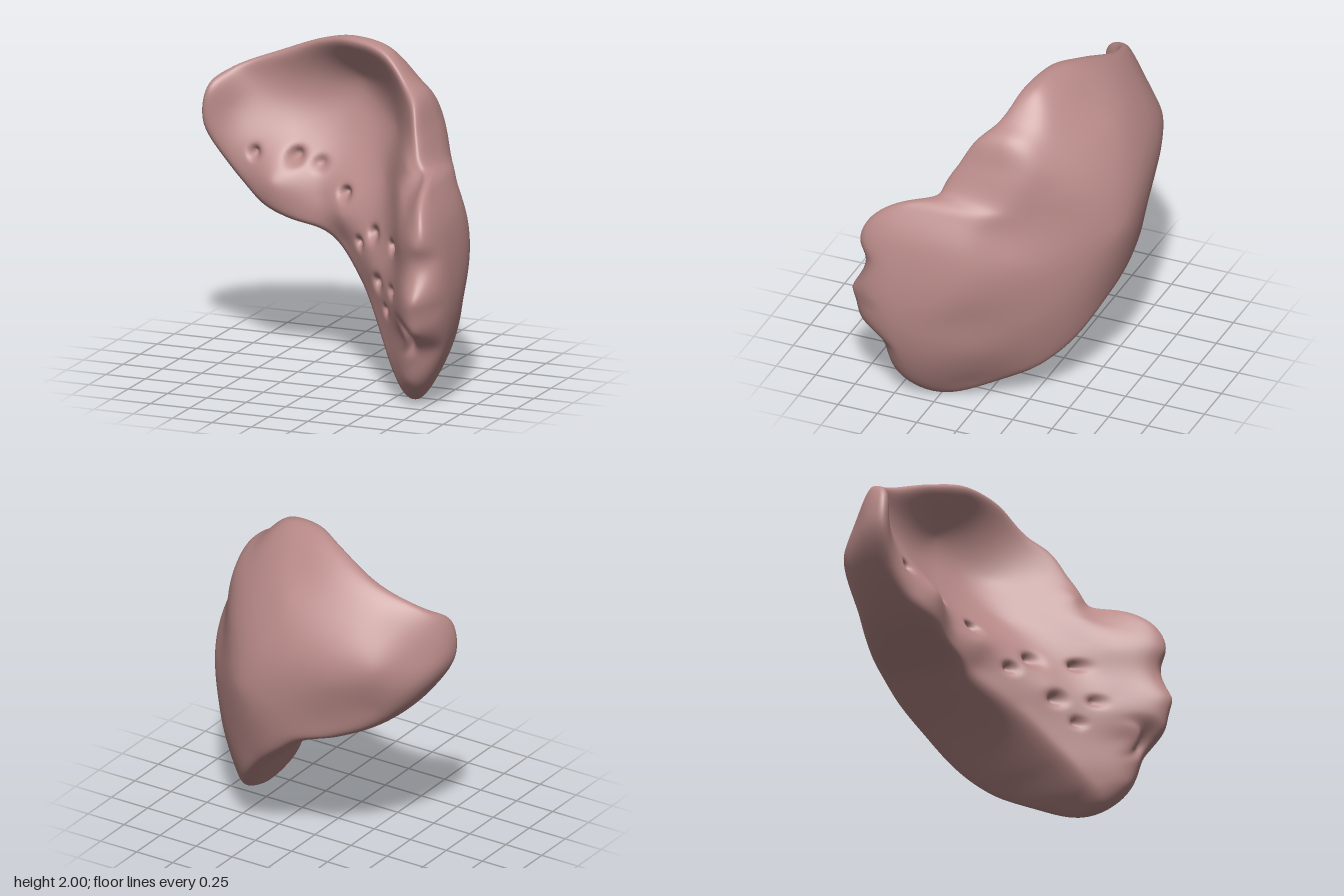
import * as THREE from 'three';

// Margin of the organ, clockwise from the top: x, y, z
const MARGIN = [
  [0.02, 2, -0.21], [0.25, 1.965, -0.17], [0.43, 1.81, -0.1], [0.53, 1.73, -0.09], [0.6, 1.56, -0.08],
  [0.67, 1.4, 0.05], [0.78, 1.295, 0.42], [0.87, 1.11, 0.45], [0.925, 0.75, 0.46], [0.905, 0.5, 0.44],
  [0.835, 0.27, 0.4], [0.73, 0.08, 0.36], [0.63, 0, 0.26], [0.53, 0.07, 0.06], [0.4, 0.24, -0.2],
  [0.2, 0.5, -0.4], [0, 0.68, -0.46], [-0.16, 0.8, -0.47], [-0.4, 0.87, -0.38], [-0.6, 0.97, -0.32],
  [-0.8, 1.17, -0.25], [-0.925, 1.4, -0.19], [-0.895, 1.62, -0.19], [-0.79, 1.71, -0.29],
  [-0.5, 1.83, -0.36], [-0.2, 1.95, -0.29],
];

// Hollow inner face: rim, hollow, central ridge, lower face, side lobe
const INNER = [
  [-0.87, 1.6, -0.13], [-0.89, 1.4, -0.12], [-0.74, 1.7, -0.27], [-0.45, 1.82, -0.31], [0, 1.94, -0.18],
  [0.28, 1.9, -0.08], [0.43, 1.77, 0.01], [0.52, 1.6, 0.12], [0.55, 1.38, 0.24], [0.53, 1.22, 0.3], [0.5, 1.06, 0.31],
  [-0.75, 1.5, -0.22], [-0.4, 1.6, -0.36], [0, 1.71, -0.37], [0, 1.45, -0.34], [0.3, 1.5, -0.18],
  [0.28, 1.2, -0.06], [-0.35, 1.36, -0.28], [-0.72, 1.2, -0.16],
  [-0.45, 1.1, -0.07], [-0.15, 1.03, -0.14], [0, 0.96, -0.05], [0.17, 0.84, 0.06], [0.32, 0.72, 0.21], [0.45, 0.6, 0.33],
  [-0.43, 0.95, -0.08], [-0.62, 1.06, -0.13], [0, 0.8, -0.09], [0.2, 0.6, 0.07], [0.4, 0.37, 0.26], [0.55, 0.18, 0.4], [0.63, 0.08, 0.44],
  [0.49, 0.88, 0.32], [0.6, 1, 0.49], [0.62, 1.22, 0.39], [0.66, 1.34, 0.29], [0.72, 1.29, 0.47], [0.76, 1.23, 0.59],
  [0.8, 1.02, 0.69], [0.81, 0.7, 0.74], [0.79, 0.5, 0.69], [0.73, 0.32, 0.56], [0.67, 0.17, 0.51],
  [0.7, 0.8, 0.64], [0.58, 0.7, 0.49], [0.63, 0.44, 0.52], [0.88, 0.95, 0.62], [0.9, 0.65, 0.62], [0.85, 0.38, 0.52],
];

// Domed outer face
const OUTER = [
  [0, 1.13, -0.74], [-0.4, 1.3, -0.69], [0.25, 1.1, -0.7], [0, 1.5, -0.68], [0, 1.7, -0.57], [0, 1.87, -0.41],
  [-0.4, 1.6, -0.6], [-0.4, 1.75, -0.5], [-0.65, 1.4, -0.59], [-0.65, 1.6, -0.49], [-0.85, 1.45, -0.39],
  [-0.6, 1.1, -0.54], [-0.3, 1, -0.65], [0, 0.8, -0.68], [0.2, 0.6, -0.6], [0.4, 0.35, -0.43],
  [0.5, 0.9, -0.48], [0.45, 1.4, -0.47], [0.38, 1.74, -0.34], [0.5, 0.2, -0.25], [0.6, 0.6, -0.32],
  [0.7, 1, -0.23], [0.82, 0.8, -0.04], [0.76, 0.4, 0], [0.64, 0.12, 0.05], [0.6, 1.4, -0.26], [0.89, 0.6, 0.16],
  [0.53, 1.58, -0.31], [0.73, 1.23, -0.08],
];

// Vessel openings on the ridge: x, y, radius, depth
const PITS = [
  [-0.6, 1.24, 0.03, 0.06], [-0.35, 1.24, 0.04, 0.08], [-0.2, 1.21, 0.035, 0.04], [0, 1.07, 0.035, 0.08],
  [0.16, 0.83, 0.03, 0.06], [0.28, 0.91, 0.04, 0.07], [0.36, 0.66, 0.035, 0.07], [0.48, 0.9, 0.03, 0.07],
  [0.52, 0.66, 0.03, 0.05], [0.45, 0.52, 0.025, 0.05],
];

// Thin-plate spline z(x, y) through the given points
function spline(points) {
  const n = points.length, size = n + 3;
  const kernel = (dx, dy) => {
    const d = dx * dx + dy * dy;
    return d > 1e-12 ? d * Math.log(d) : 0;
  };
  const basis = (x, y) => [...points.map(p => kernel(x - p[0], y - p[1])), 1, x, y];
  const m = points.map(p => [...basis(p[0], p[1]), p[2]]);
  for (let k = 0; k < 3; k++) {
    m.push([...points.map(p => [1, p[0], p[1]][k]), 0, 0, 0, 0]);
  }
  for (let c = 0; c < size; c++) {
    let pivot = c;
    for (let r = c + 1; r < size; r++) if (Math.abs(m[r][c]) > Math.abs(m[pivot][c])) pivot = r;
    [m[c], m[pivot]] = [m[pivot], m[c]];
    for (let r = 0; r < size; r++) {
      if (r === c) continue;
      const f = m[r][c] / m[c][c];
      for (let k = c; k <= size; k++) m[r][k] -= f * m[c][k];
    }
  }
  const weights = m.map((row, i) => row[size] / row[i]);
  return (x, y) => basis(x, y).reduce((sum, b, i) => sum + b * weights[i], 0);
}

function organGeometry() {
  const inner = spline(INNER), outer = spline(OUTER);
  const margin = new THREE.CatmullRomCurve3(MARGIN.map(p => new THREE.Vector3(...p)), true);
  const around = 240, rings = 90, cx = 0.3, cy = 1.1;
  const rim = margin.getSpacedPoints(around);
  const positions = [], index = [];

  // Dimples and the curved groove beside the side lobe
  const relief = (x, y) => {
    let z = 0;
    for (const [px, py, r, depth] of PITS) {
      z -= depth * Math.exp(-((x - px) ** 2 + (y - py) ** 2) / (r * r));
    }
    const d = Math.hypot(x - 0.62, y - 0.44) - 0.11;
    const angle = Math.atan2(y - 0.44, x - 0.62);
    return z - 0.06 * Math.exp(-((d / 0.03) ** 2) - ((angle - 0.2) / 0.9) ** 2);
  };

  // Rings run from the inner middle, over the margin, to the outer middle
  for (let k = 0; k <= 2 * rings; k++) {
    const r = k === 2 * rings ? 0 : Math.sin(k / rings * Math.PI / 2);
    const front = k <= rings;
    const w = Math.sqrt(Math.max(0, 1 - r ** (front ? 28 : 22)));
    for (let i = 0; i < around; i++) {
      const p = rim[i];
      const x = cx + (p.x - cx) * r, y = cy + (p.y - cy) * r;
      const face = front ? inner(x, y) + relief(x, y) : outer(x, y);
      positions.push(x, y, p.z + (face - p.z) * w);
      if (k < 2 * rings) {
        const j = (i + 1) % around;
        const a = k * around + i, b = k * around + j, c = a + around, d = b + around;
        if (k > 0) index.push(a, b, c);
        if (k < 2 * rings - 1) index.push(b, d, c);
      }
    }
  }
  // Close the two middles with a single shared vertex each
  const last = 2 * rings * around;
  const geometry = new THREE.BufferGeometry();
  geometry.setAttribute('position', new THREE.Float32BufferAttribute(positions, 3));
  geometry.setIndex(index.map(v => (v < around ? 0 : v >= last ? last : v)));
  geometry.computeVertexNormals();
  return geometry;
}

export function createModel() {
  const group = new THREE.Group();
  group.name = 'spleen';
  const body = new THREE.Mesh(organGeometry(), new THREE.MeshStandardMaterial({ color: 0xb88a88 }));
  body.name = 'spleenBody';
  group.add(body);
  return group;
}
